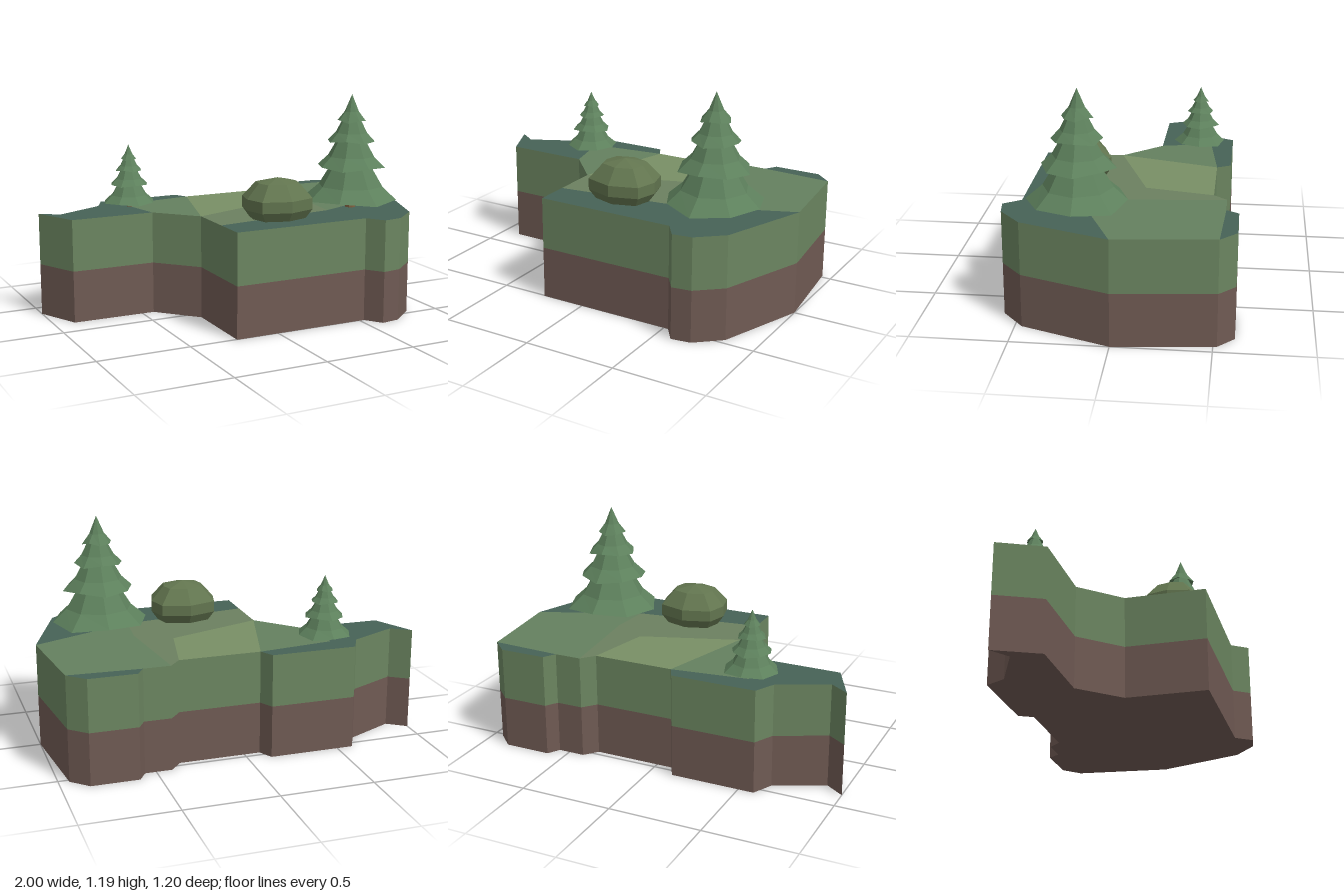
import * as THREE from 'three';

const GROUND = 0.563, SEAM = 0.282;

const material = (color, side = THREE.FrontSide) =>
  new THREE.MeshStandardMaterial({ color, flatShading: true, side });

function addMesh(parent, name, geometry, mat) {
  const mesh = new THREE.Mesh(geometry, mat);
  mesh.name = name;
  parent.add(mesh);
  return mesh;
}

// Outline of the island, [x, z]
const outline = [
  [-1, -0.38], [-0.9, -0.31], [-0.64, -0.435], [-0.585, -0.545], [-0.125, -0.545],
  [-0.085, -0.47], [0.355, -0.47], [0.415, -0.54], [0.56, -0.54], [0.6, -0.605],
  [0.855, -0.605], [0.945, -0.52], [1, 0], [0.83, 0.465], [0.695, 0.58],
  [0.59, 0.595], [0.525, 0.505], [-0.24, 0.505], [-0.24, 0.07], [-0.435, -0.14],
  [-0.89, -0.145],
];

// Flat polygon lying at height y, facing up
function flat(points, y) {
  const shape = new THREE.Shape(points.map(([x, z]) => new THREE.Vector2(x, -z)));
  return new THREE.ShapeGeometry(shape).rotateX(-Math.PI / 2).translate(0, y, 0);
}

// Vertical band that follows the outline
function wall(y0, y1) {
  const pos = [];
  outline.forEach(([x, z], i) => {
    const [u, w] = outline[(i + 1) % outline.length];
    pos.push(x, y0, z, x, y1, z, u, y1, w, x, y0, z, u, y1, w, u, y0, w);
  });
  const g = new THREE.BufferGeometry();
  g.setAttribute('position', new THREE.Float32BufferAttribute(pos, 3));
  g.computeVertexNormals();
  return g;
}

// Eight-sided lathe whose corners are shifted by a rule (corner index, ring index, vertex)
function facetedLathe(profile, shift) {
  const g = new THREE.LatheGeometry(profile.map(([r, y]) => new THREE.Vector2(r, y)), 8);
  const p = g.attributes.position, v = new THREE.Vector3();
  for (let i = 0; i < p.count; i++) {
    v.fromBufferAttribute(p, i);
    shift(Math.floor(i / profile.length) % 8, i % profile.length, v);
    p.setXYZ(i, v.x, v.y, v.z);
  }
  g.computeVertexNormals();
  return g;
}

// Conifer with four drooping tiers, standing on its own y = 0
function makeTree(name) {
  const tree = new THREE.Group();
  tree.name = name;
  const trunk = new THREE.CylinderGeometry(0.025, 0.028, 0.14, 8).translate(0, 0.07, 0);
  addMesh(tree, 'trunk', trunk, material(0x80603f));

  const tiers = [ // rim radius, rim height, neck radius, neck height
    [0.26, 0.052, 0.1, 0.255],
    [0.19, 0.23, 0.07, 0.393],
    [0.132, 0.372, 0.045, 0.5],
    [0.08, 0.482, 0, 0.627],
  ];
  const profile = [[0.02, 0.085]];
  for (const [r, y, nr, ny] of tiers) {
    profile.push([r, y], [nr + (r - nr) * 0.5, y + (ny - y) * 0.35], [nr, ny]);
  }
  const foliage = facetedLathe(profile, (corner, ring, v) => {
    if (ring % 3 !== 1) return;
    const wave = Math.sin(corner * 2.4 + ring);
    v.x *= 1 + 0.04 * wave;
    v.z *= 1 + 0.04 * wave;
    v.y -= 0.008 * wave;
  });
  addMesh(tree, 'foliage', foliage, material(0x5d805c, THREE.DoubleSide));
  return tree;
}

export function createModel() {
  const model = new THREE.Group();
  model.name = 'island';

  // Soil and grass layers
  const soil = material(0x6f5a53), grass = material(0x6b8560);
  addMesh(model, 'soilWall', wall(0, SEAM), soil);
  addMesh(model, 'soilBottom', flat(outline, 0).scale(1, -1, 1), material(0x6f5a53, THREE.DoubleSide));
  addMesh(model, 'grassWall', wall(SEAM, GROUND), grass);

  // Patches of ground that tile the top
  const TEAL = 0x466256, MID = 0x6c8060, LIGHT = 0x798f65, DEEP = 0x64805f;
  const patches = [
    ['leftShade', TEAL, [...outline.slice(0, 6), [-0.5, -0.42], ...outline.slice(19)]],
    ['leftMeadow', DEEP, [[-0.435, -0.14], [-0.5, -0.42], [-0.085, -0.47], [-0.24, 0.07]]],
    ['clearing', LIGHT, [[-0.085, -0.47], [0.355, -0.47], [0.28, -0.11], [-0.24, 0.07]]],
    ['middleMeadow', MID, [[-0.24, 0.07], [0.28, -0.11], [0.355, -0.47], [0.415, -0.54],
      [0.47, 0], [0.45, 0.23], [-0.24, 0.32]]],
    ['rightMeadow', DEEP, [[0.415, -0.54], [0.56, -0.54], [0.945, -0.52], [1, 0],
      [0.45, 0.23], [0.47, 0]]],
    ['backShade', TEAL, outline.slice(8, 12)],
    ['frontShade', TEAL, [[-0.24, 0.32], [0.45, 0.23], ...outline.slice(12, 18)]],
  ];
  for (const [name, color, points] of patches) {
    addMesh(model, name, flat(points, GROUND), material(color));
  }

  // Trees
  const bigTree = makeTree('bigTree');
  bigTree.position.set(0.615, GROUND, 0.2);
  const smallTree = makeTree('smallTree');
  smallTree.position.set(-0.485, GROUND, -0.355);
  smallTree.scale.setScalar(0.555);
  model.add(bigTree, smallTree);

  // Mossy boulder, slightly boxy
  const boulder = facetedLathe(
    [[0, 0], [0.145, 0], [0.18, 0.05], [0.18, 0.11], [0.11, 0.19], [0, 0.215]],
    (corner, ring, v) => {
      if (corner % 2) v.x *= 1.18;
      v.z *= 0.92;
    });
  addMesh(model, 'boulder', boulder, material(0x62754f)).position.set(0.12, GROUND, 0.26);

  return model;
}
